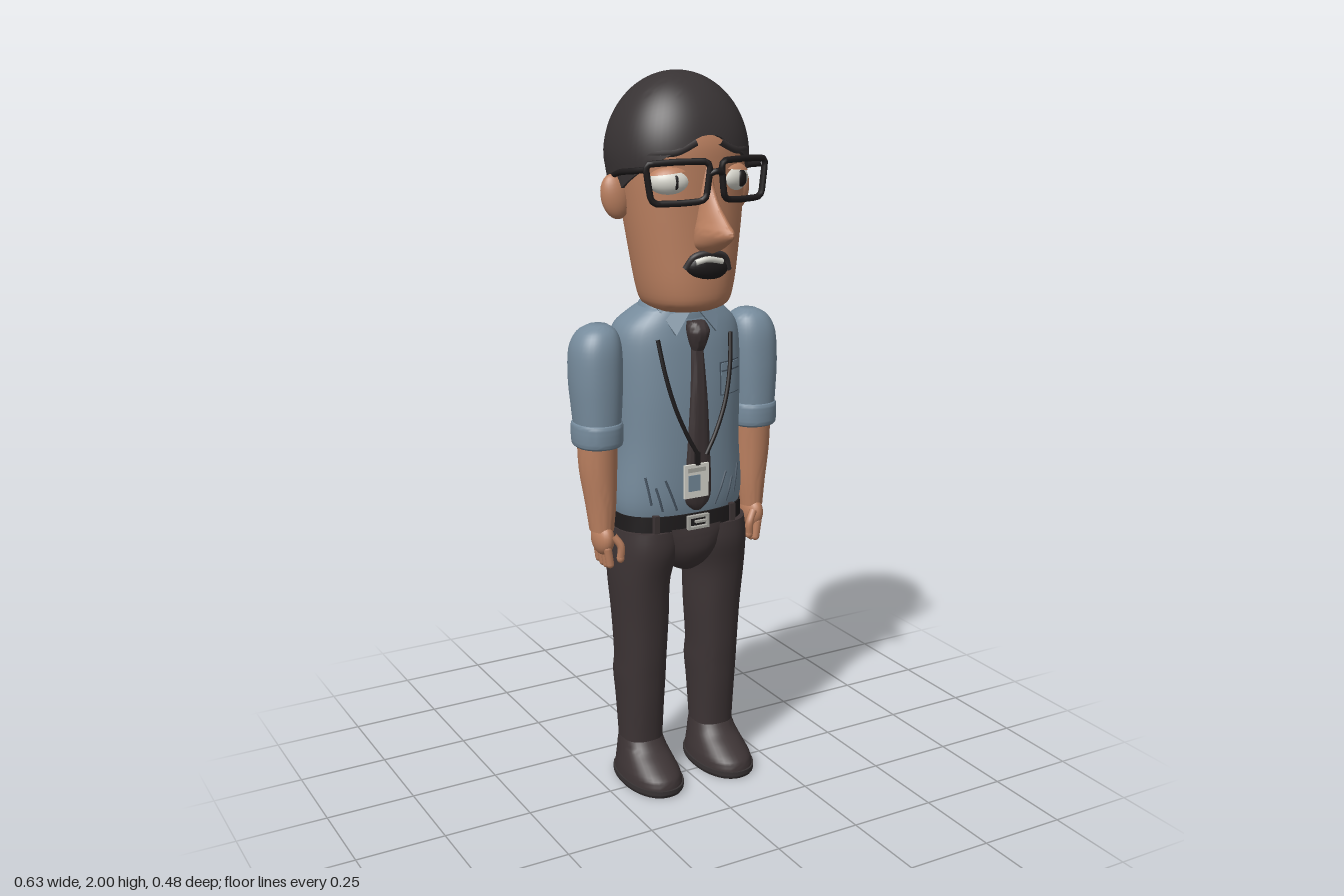
import * as THREE from 'three';
import { toCreasedNormals } from 'three/addons/utils/BufferGeometryUtils.js';

const mat = (name, color) => new THREE.MeshStandardMaterial({ name, color });

// Joins rings of points (bottom to top) into a closed, smooth skin
function skin(rings, crease = 0.9) {
  const N = rings[0].length, pos = rings.flat(2), idx = [];
  for (let i = 0; i < rings.length - 1; i++) for (let j = 0; j < N; j++) {
    const k = (j + 1) % N, a = i * N, b = a + N;
    idx.push(a + j, b + j, a + k, a + k, b + j, b + k);
  }
  [0, rings.length - 1].forEach((r, top) => {
    const c = pos.length / 3;
    for (let q = 0; q < 3; q++) pos.push(rings[r].reduce((s, p) => s + p[q], 0) / N);
    for (let j = 0; j < N; j++) {
      const a = r * N + j, b = r * N + (j + 1) % N;
      idx.push(c, top ? b : a, top ? a : b);
    }
  });
  const g = new THREE.BufferGeometry();
  g.setAttribute('position', new THREE.Float32BufferAttribute(pos, 3));
  g.setIndex(idx);
  return toCreasedNormals(g, crease);
}

// Superellipse ring
function ring(y, x0, rx, zf, zb, n, N = 36) {
  const p = v => Math.sign(v) * Math.abs(v) ** (2 / n);
  return Array.from({ length: N }, (_, j) => {
    const a = j / N * Math.PI * 2;
    return [x0 + rx * p(Math.cos(a)), y, (zf + zb) / 2 + (zf - zb) / 2 * p(Math.sin(a))];
  });
}

// Loft through rows of [y, centre x, half width, front z, back z]
function loft(rows, n = 2, steps = 4) {
  const out = [], at = i => rows[Math.max(0, Math.min(rows.length - 1, i))];
  for (let i = 0; i < rows.length - 1; i++) for (let s = 0; s < steps; s++) {
    const t = s / steps;
    out.push(at(i).map((b, q) => {
      const a = at(i - 1)[q], c = at(i + 1)[q], d = at(i + 2)[q];
      return b + t / 2 * (c - a + t * (2 * a - 5 * b + 4 * c - d + t * (3 * (b - c) + d - a)));
    }));
  }
  out.push(rows[rows.length - 1]);
  return skin(out.map(r => ring(...r, n)));
}

// Front surface depth of a loft at x, y
function frontZ(rows, n, x, y) {
  let i = 0;
  while (i < rows.length - 2 && rows[i + 1][0] < y) i++;
  const t = THREE.MathUtils.clamp((y - rows[i][0]) / (rows[i + 1][0] - rows[i][0]), 0, 1);
  const [, , rx, zf, zb] = rows[i].map((v, q) => v + t * (rows[i + 1][q] - v));
  return (zf + zb) / 2 + (zf - zb) / 2 * Math.max(0, 1 - Math.abs(x / rx) ** n) ** (1 / n);
}

const HEAD = [[1.38, 0, 0.085, 0.07, -0.115], [1.4, 0, 0.113, 0.108, -0.138], [1.45, 0, 0.13, 0.118, -0.146],
  [1.55, 0, 0.148, 0.116, -0.156], [1.65, 0, 0.163, 0.114, -0.17], [1.75, 0, 0.175, 0.114, -0.195],
  [1.82, 0, 0.176, 0.111, -0.21], [1.88, 0, 0.152, 0.088, -0.195]];
const TORSO = [[0.8, 0, 0.184, 0.05, -0.175], [0.86, 0, 0.192, 0.06, -0.18], [1.0, 0, 0.182, 0.065, -0.188],
  [1.15, 0, 0.185, 0.065, -0.198], [1.27, 0, 0.187, 0.056, -0.2], [1.33, 0, 0.174, 0.046, -0.185],
  [1.37, 0, 0.135, 0.036, -0.15], [1.39, 0, 0.105, 0.03, -0.13]];
const faceZ = (x, y) => frontZ(HEAD, 2.2, x, y);
const chestZ = (x, y) => frontZ(TORSO, 2.4, x, y);

function createModel() {
  const model = new THREE.Group();
  model.name = 'officeWorker';
  const skinTone = mat('skin', 0xbb8060), shirt = mat('shirt', 0x768b9c), seam = mat('shirtSeam', 0x4a5866),
    hair = mat('hair', 0x383334), cloth = mat('trousers', 0x3d3435), black = mat('black', 0x1e1b1c),
    white = mat('white', 0xd9d8cf), metal = mat('metal', 0xaaa9a3);

  const add = (name, geo, m) => {
    const mesh = new THREE.Mesh(geo, m);
    mesh.name = name;
    model.add(mesh);
    return mesh;
  };
  const ball = (name, m, p, r, ry = 0, rz = 0) => {
    const b = add(name, new THREE.SphereGeometry(1, 24, 16), m);
    b.position.set(...p); b.scale.set(...r); b.rotation.set(0, ry, rz);
    return b;
  };
  const box = (name, m, p, s) => add(name, new THREE.BoxGeometry(...s), m).position.set(...p);
  const tube = (name, m, pts, r, closed = false, tension = 0.5) => add(name, new THREE.TubeGeometry(
    new THREE.CatmullRomCurve3(pts.map(p => new THREE.Vector3(...p)), closed, 'catmullrom', tension), 40, r, 8, closed), m);
  // Lays a flat geometry onto the shirt front
  const onChest = (name, geo, m) => {
    const p = geo.attributes.position;
    for (let i = 0; i < p.count; i++) p.setZ(i, p.getZ(i) + chestZ(p.getX(i), p.getY(i)));
    geo.computeVertexNormals();
    return add(name, geo, m);
  };

  // Head and nose
  add('head', loft(HEAD, 2.2), skinTone);
  add('neck', loft([[1.33, 0, 0.1, 0.03, -0.13], [1.41, 0, 0.1, 0.03, -0.13]]), skinTone);
  add('nose', loft([[1.545, 0, 0.022, 0.14, 0.06], [1.565, 0, 0.04, 0.19, 0.04], [1.6, 0, 0.042, 0.24, 0.02],
    [1.63, 0, 0.034, 0.21, 0.03], [1.67, 0, 0.026, 0.165, 0.05], [1.72, 0, 0.022, 0.132, 0.06],
    [1.78, 0, 0.016, 0.112, 0.07]], 1.5), skinTone);

  // Hair cap with a hairline that drops toward the nape
  const hairRing = t => {
    const flat = ring(0, 0, 1, 1, -1, 2.2, 64);
    return flat.map(([x, , z], j) => {
      const f = Math.sin(j / 64 * Math.PI * 2);
      const edge = 1.69 + (f > 0 ? 0.12 : 0.1) * f + 0.035 * Math.max(0, f) ** 14;
      const y = edge + (2 - edge) * Math.sin(Math.max(0, t) * Math.PI / 2);
      const k = y > 1.78 ? Math.sqrt(Math.max(0, 1 - ((y - 1.78) / 0.22) ** 2)) : 1;
      const m = Math.max(0, 1.78 - y) / 0.19, inset = t < 0 ? 0.9 : 1;
      return [x * (0.19 * k - 0.022 * m) * inset, y,
        -0.055 + z * (z > 0 ? 0.181 * k - 0.01 * m : 0.187 * k - 0.062 * m) * inset];
    });
  };
  add('hair', skin([-1, ...Array.from({ length: 25 }, (_, i) => i / 25)].map(hairRing), 0.8), hair);

  // Mouth
  ball('mouth', black, [0, 1.505, 0.103], [0.064, 0.036, 0.03], 0, -0.12);
  tube('upperLip', hair, [[-0.066, 1.505, 0.108], [-0.045, 1.538, 0.122], [0, 1.545, 0.13],
    [0.045, 1.532, 0.122], [0.066, 1.495, 0.108]], 0.008);
  tube('teeth', white, [[-0.042, 1.521, 0.122], [-0.01, 1.529, 0.131], [0.036, 1.519, 0.124]], 0.008);

  for (const s of [1, -1]) {
    const side = s > 0 ? 'left' : 'right';
    const mirror = pts => pts.map(([x, y, z]) => [x * s, y, z]);
    // Eyes, brows and ears
    ball(side + 'Eye', white, [s * 0.095, 1.728, 0.075], [0.054, 0.036, 0.034], s * 0.45);
    ball(side + 'Pupil', black, [s > 0 ? 0.108 : -0.092, 1.728, 0.1], [0.018, 0.022, 0.011], s * 0.45);
    const lid = add(side + 'Eyelid', new THREE.SphereGeometry(1, 24, 8, 0, Math.PI * 2, 0, 1.05), skinTone);
    lid.position.set(s * 0.095, 1.729, 0.075);
    lid.scale.set(0.058, 0.041, 0.039);
    lid.rotation.set(0, s * 0.45, -s * 0.12);
    tube(side + 'Brow', hair, [[0.165, 1.785], [0.13, 1.8], [0.085, 1.805], [0.035, 1.828]]
      .map(([x, y]) => [s * x, y, faceZ(x, y) + 0.004]), 0.011);
    ball(side + 'Ear', skinTone, [s * 0.186, 1.682, -0.05], [0.038, 0.06, 0.026], s * 0.25, -s * 0.2);

    // Glasses
    const rim = [[0.03, 1.782], [0.1, 1.782], [0.168, 1.778], [0.176, 1.765], [0.165, 1.69], [0.15, 1.678],
      [0.09, 1.678], [0.04, 1.682], [0.026, 1.695], [0.017, 1.77]];
    tube(side + 'LensRim', black, rim.map(([x, y]) => [s * x, y, 0.157 - 0.3 * x]), 0.0085, true, 0.15);
    tube(side + 'GlassesTemple', black, mirror([[0.172, 1.765, 0.105], [0.192, 1.758, 0.06],
      [0.196, 1.75, 0], [0.188, 1.735, -0.06]]), 0.008);

    // Sleeve with rolled cuff
    const X = s * 0.244;
    add(side + 'Sleeve', loft([[1.05, X, 0.06, 0.01, -0.128], [1.12, X, 0.066, 0.012, -0.136],
      [1.2, X, 0.071, 0.012, -0.144], [1.28, s * 0.242, 0.069, 0.006, -0.143], [1.325, s * 0.237, 0.053, -0.012, -0.125],
      [1.345, s * 0.233, 0.025, -0.04, -0.095]], 2.2), shirt);
    add(side + 'Cuff', loft([[1.015, X, 0.06, 0.006, -0.126], [1.022, X, 0.066, 0.014, -0.135],
      [1.045, X, 0.068, 0.016, -0.137], [1.075, X, 0.067, 0.016, -0.137], [1.083, X, 0.062, 0.01, -0.13]], 2.2), shirt);

    // Forearm and hand
    const H = s * 0.24;
    add(side + 'Forearm', loft([[0.775, H, 0.033, -0.012, -0.088], [0.85, H, 0.042, -0.008, -0.1],
      [0.95, X, 0.052, -0.004, -0.114], [1.05, X, 0.055, 0, -0.12]]), skinTone);
    ball(side + 'Palm', skinTone, [H, 0.752, -0.045], [0.028, 0.048, 0.047]);
    for (let i = 0; i < 4; i++) {
      const f = add(side + 'Finger', new THREE.CapsuleGeometry(0.0115, [0.045, 0.055, 0.055, 0.045][i], 4, 10), skinTone);
      f.position.set(s * 0.238, 0.706, -0.078 + i * 0.022);
      f.rotation.z = -s * 0.15;
    }
    tube(side + 'Thumb', skinTone, mirror([[0.225, 0.765, -0.01], [0.207, 0.735, 0.0], [0.207, 0.7, -0.002]]), 0.011);
    ball(side + 'ThumbTip', skinTone, [s * 0.207, 0.7, -0.002], [0.011, 0.014, 0.011]);

    // Trouser leg and shoe
    const L = s * 0.117;
    add(side + 'Leg', loft([[0.08, L, 0.06, -0.003, -0.128], [0.14, L, 0.061, 0, -0.132], [0.25, L, 0.065, 0.01, -0.146],
      [0.32, L, 0.069, 0.015, -0.155], [0.38, L, 0.069, 0.02, -0.147], [0.5, L, 0.075, 0.028, -0.155],
      [0.62, s * 0.12, 0.08, 0.042, -0.17], [0.71, s * 0.107, 0.093, 0.06, -0.184],
      [0.77, s * 0.1, 0.096, 0.057, -0.18]], 2.3), cloth);
    add(side + 'Sole', loft([[0, L, 0.08, 0.115, -0.155], [0.008, L, 0.084, 0.12, -0.158],
      [0.022, L, 0.084, 0.12, -0.158]], 2.2), hair);
    add(side + 'Shoe', loft([[0.02, L, 0.08, 0.115, -0.153], [0.045, L, 0.077, 0.105, -0.15], [0.075, L, 0.07, 0.06, -0.144],
      [0.1, L, 0.065, 0.02, -0.138], [0.13, L, 0.06, -0.005, -0.13]], 2.2), cloth);

    // Collar flap, lanyard strap, shirt folds and belt loops
    const flap = new THREE.Shape([[0.008, 1.385], [0.095, 1.388], [0.062, 1.318]].map(([x, y]) => new THREE.Vector2(s * x, y)));
    onChest(side + 'CollarFlap', new THREE.ExtrudeGeometry(flap, { depth: 0.012, bevelEnabled: false }), shirt);
    tube(side + 'LanyardStrap', black, [[0.112, 1.31], [0.1, 1.22], [0.078, 1.13], [0.045, 1.05], [0.012, 0.99]]
      .map(([x, y]) => [s * x - 0.01 * (1.31 - y), y, chestZ(x, y) + 0.012 + 0.05 * (1.31 - y)]), 0.006);
    for (const [x1, y1, x2, y2] of [[0.06, 0.83, 0.095, 0.92], [0.1, 0.83, 0.12, 0.9], [0.13, 0.85, 0.145, 0.93]])
      tube(side + 'ShirtFold', seam, [0, 0.5, 1].map(t => {
        const x = x1 + t * (x2 - x1), y = y1 + t * (y2 - y1);
        return [s * x, y, chestZ(x, y)];
      }), 0.0035);
    box(side + 'BeltLoop', cloth, [s * 0.12, 0.79, 0.043], [0.016, 0.06, 0.016]);
  }
  tube('glassesBridge', black, [[-0.02, 1.75, 0.152], [0, 1.757, 0.158], [0.02, 1.75, 0.152]], 0.008);

  // Shirt body, collar band and chest pocket
  add('shirtBody', loft(TORSO, 2.4), shirt);
  add('collarBand', loft([[1.355, 0, 0.125, 0.04, -0.145], [1.38, 0, 0.116, 0.038, -0.138],
    [1.395, 0, 0.108, 0.032, -0.132]], 2.2), shirt);
  const pocket = (w, h, d) => new THREE.BoxGeometry(w, h, d, 6, 4, 1).translate(0.11, 1.185, 0);
  onChest('pocketSeam', pocket(0.077, 0.092, 0.006), seam);
  onChest('pocket', pocket(0.07, 0.085, 0.012), shirt);
  onChest('pocketHem', pocket(0.07, 0.004, 0.016).translate(0, 0.022, 0), seam);

  // Tie
  const tieRow = (y, r, d) => [y, 0, r, chestZ(0, y) + d, chestZ(0, y) - 0.015];
  add('tie', loft([tieRow(0.825, 0.012, 0.012), tieRow(0.865, 0.04, 0.016), tieRow(1.0, 0.034, 0.016),
    tieRow(1.15, 0.025, 0.016), tieRow(1.29, 0.016, 0.018)], 2.4), cloth);
  add('tieKnot', loft([tieRow(1.275, 0.016, 0.022), tieRow(1.3, 0.025, 0.036), tieRow(1.33, 0.031, 0.046),
    tieRow(1.352, 0.024, 0.035)], 2.2), cloth);

  // Badge on the lanyard
  box('badgeClip', black, [-0.018, 0.982, 0.092], [0.014, 0.036, 0.01]);
  box('badge', white, [-0.022, 0.92, 0.092], [0.074, 0.094, 0.008]);
  box('badgePhoto', shirt, [-0.03, 0.915, 0.096], [0.036, 0.045, 0.004]);
  box('badgeStripe', metal, [-0.022, 0.952, 0.096], [0.055, 0.012, 0.004]);

  // Belt, buckle and trouser seat
  add('belt', loft([[0.768, 0, 0.192, 0.06, -0.181], [0.814, 0, 0.19, 0.058, -0.179]], 2.4, 1), black);
  for (const d of [1, -1]) {
    box('buckleBar', metal, [0, 0.791 + d * 0.016, 0.064], [0.066, 0.007, 0.012]);
    box('buckleSide', metal, [d * 0.03, 0.791, 0.064], [0.007, 0.036, 0.012]);
  }
  box('bucklePin', metal, [0.01, 0.791, 0.064], [0.036, 0.006, 0.01]);
  add('trouserSeat', loft([[0.638, 0, 0.035, 0.02, -0.13], [0.66, 0, 0.07, 0.045, -0.155], [0.7, 0, 0.105, 0.064, -0.178],
    [0.74, 0, 0.14, 0.066, -0.184], [0.775, 0, 0.188, 0.06, -0.181]], 2.4), cloth);

  return model;
}

export { createModel };
